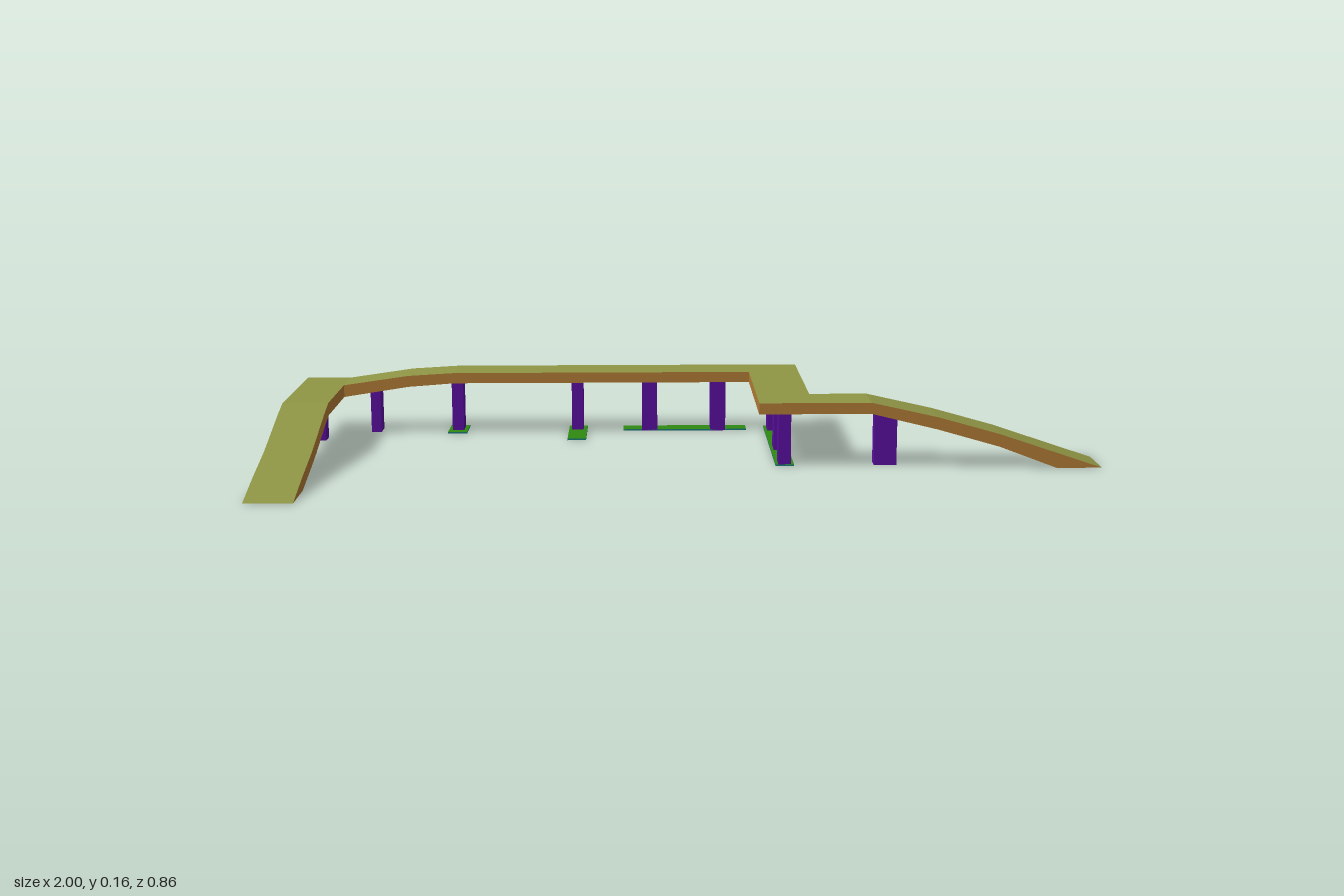
import * as THREE from 'three';

const material = (color) => new THREE.MeshStandardMaterial({ color, flatShading: true });

// Turns a list of four-corner faces into one flat-shaded mesh
function quadMesh(name, quads, mat) {
  const pos = [];
  for (const [a, b, c, d] of quads) pos.push(...a, ...b, ...c, ...a, ...c, ...d);
  const geo = new THREE.BufferGeometry();
  geo.setAttribute('position', new THREE.Float32BufferAttribute(pos, 3));
  geo.computeVertexNormals();
  const mesh = new THREE.Mesh(geo, mat);
  mesh.name = name;
  return mesh;
}

export function createModel() {
  const model = new THREE.Group();
  model.name = 'raisedWalkway';
  const surface = material(0x8f9645), timber = material(0xb07a35);
  const purple = material(0x5a0f9e), green = material(0x2f8a10), teal = material(0x1a7a7a);

  // Walkway stations: left edge (x, z), right edge (x, z), top and underside heights
  const stations = [];
  const add = (lx, lz, rx, rz, top, under) => stations.push({ lx, lz, rx, rz, top, under });

  // Left ramp, running towards the back
  for (const [z, top, under] of [[0.43, 0, 0], [0.31, 0.031, 0], [0.18, 0.06, 0.03],
    [0.12, 0.077, 0.045], [0, 0.113, 0.081], [-0.07, 0.131, 0.1]]) {
    add(-1, z, -0.887, z, top, under);
  }
  add(-1, -0.43, -0.887, -0.315, 0.131, 0.1);
  // Back span, rising a little and then level
  for (const [x, top, under] of [[-0.887, 0.131, 0.1], [-0.72, 0.155, 0.126], [-0.6, 0.162, 0.135]]) {
    add(x, -0.43, x, -0.315, top, under);
  }
  // The two level corners around the cross span
  add(0.3, -0.43, 0.17, -0.315, 0.162, 0.135);
  add(0.3, 0, 0.17, 0.12, 0.162, 0.135);
  // Right ramp, falling to the ground
  for (const [x, top, under] of [[0.3, 0.162, 0.135], [0.44, 0.162, 0.135], [0.6, 0.126, 0.096],
    [0.75, 0.084, 0.053], [0.89, 0.037, 0], [1, 0, 0]]) {
    add(x, 0, x, 0.12, top, under);
  }

  // Walking surface and timber body
  const topQuads = [], bodyQuads = [];
  const corners = (s) => [[s.lx, s.top, s.lz], [s.rx, s.top, s.rz], [s.rx, s.under, s.rz], [s.lx, s.under, s.lz]];
  for (let i = 0; i < stations.length - 1; i++) {
    const [tl, tr, br, bl] = corners(stations[i]);
    const [tl2, tr2, br2, bl2] = corners(stations[i + 1]);
    topQuads.push([tl, tr, tr2, tl2]);
    bodyQuads.push([bl, bl2, br2, br], [tl, tl2, bl2, bl], [tr, br, br2, tr2]);
  }
  model.add(quadMesh('walkingSurface', topQuads, surface), quadMesh('walkwayBody', bodyQuads, timber));

  // Support pillars: x, z, width, depth, height
  const pillars = [
    [-0.945, -0.022, 0.04, 0.045, 0.092], [-0.945, -0.26, 0.04, 0.042, 0.102],
    [-0.81, -0.37, 0.026, 0.05, 0.118], [-0.595, -0.37, 0.03, 0.05, 0.137],
    [-0.28, -0.37, 0.03, 0.05, 0.137], [-0.09, -0.37, 0.04, 0.05, 0.137],
    [0.09, -0.37, 0.04, 0.05, 0.137], [0.235, -0.346, 0.03, 0.054, 0.137],
    [0.235, -0.108, 0.03, 0.055, 0.137], [0.235, 0.057, 0.03, 0.05, 0.137],
    [0.48, 0.06, 0.055, 0.035, 0.13],
  ];
  for (const [x, z, w, d, h] of pillars) {
    const pillar = new THREE.Mesh(new THREE.BoxGeometry(w, h, d), purple);
    pillar.name = 'pillar';
    pillar.position.set(x, h / 2, z);
    model.add(pillar);
  }

  // Thin ground strips: x range, z range; green on top only
  const strips = [
    [-0.62, -0.57, -0.412, -0.32], [-0.303, -0.255, -0.4, -0.228],
    [-0.16, 0.165, -0.395, -0.345], [0.213, 0.258, -0.385, 0.085],
  ];
  const stripMaterials = [teal, teal, green, teal, teal, teal];
  for (const [x0, x1, z0, z1] of strips) {
    const strip = new THREE.Mesh(new THREE.BoxGeometry(x1 - x0, 0.004, z1 - z0), stripMaterials);
    strip.name = 'groundStrip';
    strip.position.set((x0 + x1) / 2, 0.002, (z0 + z1) / 2);
    model.add(strip);
  }
  return model;
}
